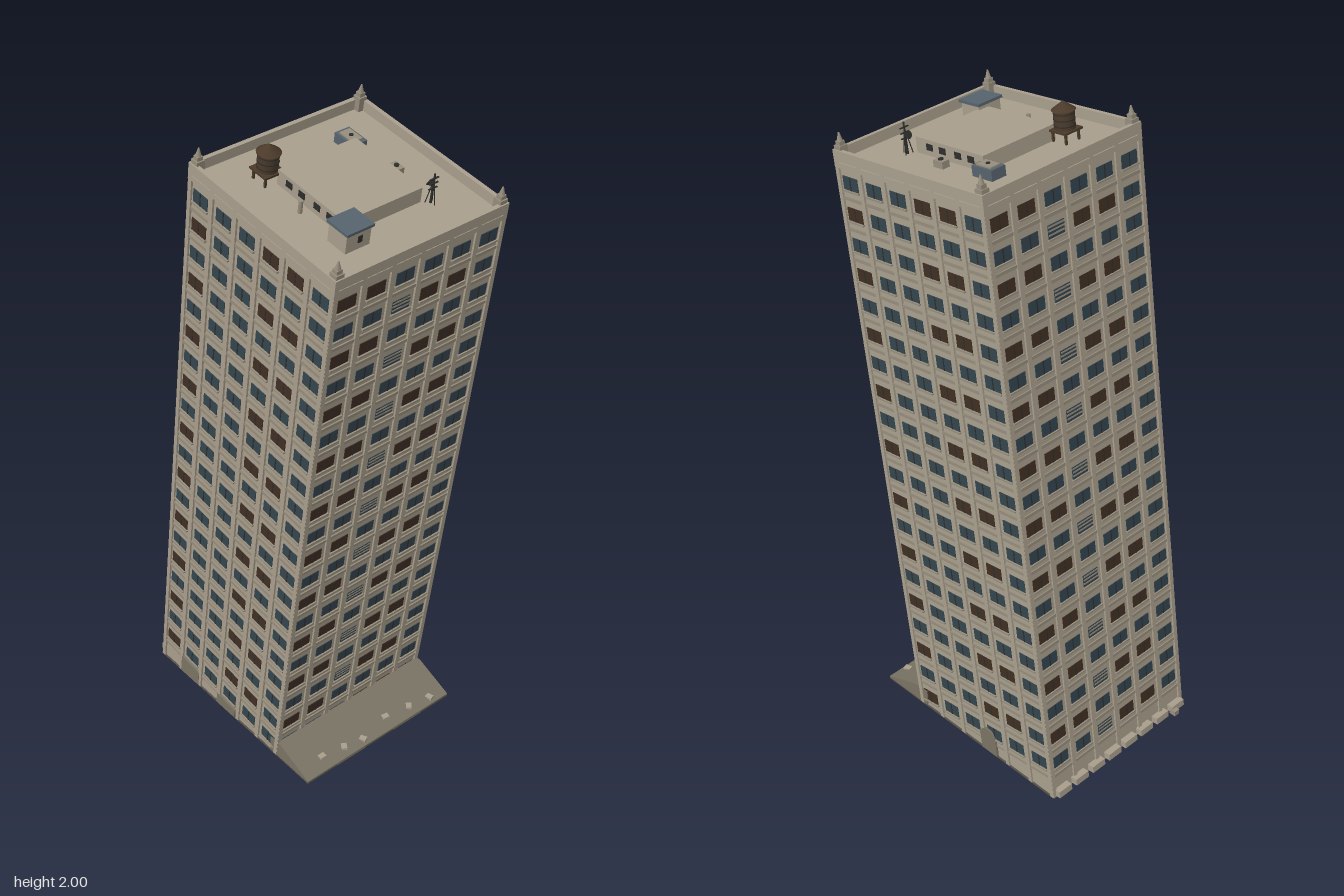
import * as THREE from 'three';
import { mergeGeometries } from 'three/addons/utils/BufferGeometryUtils.js';

const LEAN = THREE.MathUtils.degToRad(8);
const HALF = 0.286, ROOF = 1.885, ROWS = 20, COLS = 6, BAY = 0.0965, FLOOR = 0.0916;

const mat = (name, color) => {
  const m = new THREE.MeshStandardMaterial({ color });
  m.name = name;
  return m;
};

export function createModel() {
  const M = {
    wall: mat('wall stone', 0xa89e8c),
    trim: mat('trim stone', 0x968d7c),
    glass: mat('window glass', 0x34444e),
    boarded: mat('boarded window', 0x402f23),
    dark: mat('dark metal', 0x2d2e2c),
    wood: mat('tank wood', 0x4b3a2a),
    slate: mat('blue slate', 0x56636d),
    concrete: mat('concrete', 0x7a7364),
    asphalt: mat('asphalt', 0x575349),
  };
  const model = new THREE.Group();
  model.name = 'leaningTower';
  const tower = new THREE.Group();
  tower.name = 'tower';
  tower.position.x = -0.1165;
  tower.rotation.z = -LEAN;
  model.add(tower);

  const box = (w, h, d, x, y, z) => new THREE.BoxGeometry(w, h, d).translate(x, y, z);
  const cyl = (r1, r2, h, n, x, y, z) => new THREE.CylinderGeometry(r1, r2, h, n).translate(x, y, z);
  const add = (parent, name, material, geos) => {
    const mesh = new THREE.Mesh(mergeGeometries([geos].flat()), material);
    mesh.name = name;
    parent.add(mesh);
    return mesh;
  };
  // Cuts a tower part level with the ground
  const cut = (g) => {
    const p = g.attributes.position;
    for (let i = 0; i < p.count; i++) {
      p.setY(i, Math.max(p.getY(i), p.getX(i) * Math.tan(LEAN) + 0.005));
    }
    g.computeVertexNormals();
    return g;
  };
  // Box on facade k: a runs along the wall, v up, d is how far it stands out
  const onWall = (k, w, h, a, v, d) =>
    cut(box(w, h, d + 0.004, a, v, HALF + d / 2 - 0.002).rotateY(k * Math.PI / 2));

  // Main shaft
  add(tower, 'shaft', M.wall, cut(box(HALF * 2, ROOF + 0.1, HALF * 2, 0, (ROOF - 0.1) / 2, 0)));

  // Facades: piers, ledges, windows
  const piers = [], ledges = [], glass = [], boards = [], bars = [], blinds = [];
  for (let k = 0; k < 4; k++) {
    for (let i = 0; i <= COLS; i++) {
      const a = THREE.MathUtils.clamp((i - COLS / 2) * BAY, -0.284, 0.284);
      piers.push(onWall(k, 0.014, ROOF + 0.06, a, (ROOF - 0.06) / 2, 0.006));
    }
    for (let r = 0; r < ROWS; r++) {
      const v = 1.825 - r * FLOOR;
      ledges.push(onWall(k, 0.58, 0.01, 0, v - FLOOR / 2, 0.004));
      for (let c = 0; c < COLS; c++) {
        const a = (c - (COLS - 1) / 2) * BAY;
        const side = k % 2 === 1;
        const even = r % 2 === 0;
        const isBoarded = side
          ? (even ? c < 2 : c === 3 || c === 4)
          : (even ? c === 3 || c === 4 : c === 0);
        (isBoarded ? boards : glass).push(onWall(k, 0.06, 0.039, a, v, 0.002));
        ledges.push(onWall(k, 0.066, 0.005, a, v - 0.022, 0.007));
        if (side && !even && c === 2) {
          for (const s of [-0.009, 0.003, 0.014]) blinds.push(onWall(k, 0.058, 0.005, a, v + s, 0.003));
        } else {
          bars.push(onWall(k, 0.004, 0.039, a, v, 0.003));
        }
      }
    }
  }
  add(tower, 'piers', M.wall, piers);
  add(tower, 'ledges', M.trim, ledges);
  add(tower, 'glassWindows', M.glass, glass);
  add(tower, 'boardedWindows', M.boarded, boards);
  add(tower, 'windowBars', M.dark, bars);
  add(tower, 'windowBlinds', M.trim, blinds);

  // Street level doors and back entrance
  add(tower, 'frontDoors', M.concrete, [
    onWall(0, 0.09, 0.12, -0.145, -0.012, 0.007),
    onWall(0, 0.09, 0.12, 0.04, -0.012, 0.007),
  ]);
  add(tower, 'backEntrance', M.concrete, [
    onWall(2, 0.065, 0.13, 0.02, -0.005, 0.007),
    cut(cyl(0.0325, 0.0325, 0.008, 16, 0, 0, 0).rotateX(Math.PI / 2).translate(-0.02, 0.06, -HALF - 0.003)),
  ]);

  // Cornice, parapet and corner finials
  const parapet = [], finials = [];
  for (let k = 0; k < 4; k++) {
    parapet.push(onWall(k, 0.584, 0.016, 0, 1.874, 0.006));
    parapet.push(box(0.584, 0.032, 0.013, 0, 1.9, 0.2855).rotateY(k * Math.PI / 2));
    const x = k % 2 ? 0.275 : -0.275, z = k < 2 ? 0.275 : -0.275;
    finials.push(box(0.026, 0.045, 0.026, x, 1.905, z), box(0.018, 0.012, 0.018, x, 1.933, z));
    finials.push(cyl(0.002, 0.009, 0.025, 8, x, 1.95, z));
  }
  add(tower, 'parapet', M.wall, parapet);
  add(tower, 'finials', M.trim, finials);

  // Penthouse
  add(tower, 'penthouse', M.wall, box(0.262, 0.045, 0.262, 0.003, ROOF + 0.0225, 0));
  add(tower, 'penthouseVents', M.dark, [-0.08, -0.03, 0.03, 0.08].flatMap((a) => [
    box(0.024, 0.018, 0.004, a, ROOF + 0.025, -0.131),
    box(0.024, 0.018, 0.004, a, ROOF + 0.025, 0.131),
  ]));

  // Water tank on legs
  const tank = new THREE.Group();
  tank.name = 'waterTank';
  tank.position.set(-0.156, ROOF, 0.143);
  tower.add(tank);
  add(tank, 'tankStand', M.wood, [-1, 1].flatMap((i) => [-1, 1].map((j) =>
    box(0.006, 0.03, 0.006, i * 0.024, 0.015, j * 0.024))).concat(box(0.066, 0.006, 0.066, 0, 0.032, 0)));
  add(tank, 'tankBarrel', M.wood, cyl(0.029, 0.029, 0.052, 16, 0, 0.061, 0));
  add(tank, 'tankHoops', M.dark, [0.045, 0.062, 0.079].map((y) => cyl(0.03, 0.03, 0.003, 16, 0, y, 0)));
  add(tank, 'tankRoof', M.wood, cyl(0.001, 0.034, 0.024, 16, 0, 0.099, 0));

  // Stair hut with slate roof
  add(tower, 'stairHut', M.wall, box(0.068, 0.056, 0.08, 0.159, ROOF + 0.028, 0.135));
  add(tower, 'stairHutRoof', M.slate, box(0.08, 0.008, 0.09, 0.159, ROOF + 0.06, 0.135));
  add(tower, 'stairHutDoor', M.dark, box(0.004, 0.02, 0.014, 0.193, ROOF + 0.03, 0.13));

  // Cooling unit and small vents
  add(tower, 'coolingUnit', M.slate, box(0.074, 0.03, 0.05, -0.155, ROOF + 0.015, -0.14));
  add(tower, 'coolingUnitLid', M.trim, box(0.054, 0.006, 0.036, -0.155, ROOF + 0.031, -0.14));
  add(tower, 'coolingFan', M.dark, cyl(0.006, 0.006, 0.004, 10, -0.155, ROOF + 0.035, -0.14));
  add(tower, 'roofVents', M.trim, [
    box(0.036, 0.02, 0.025, 0, ROOF + 0.01, -0.165),
    cyl(0.006, 0.006, 0.038, 8, 0, ROOF + 0.019, 0.16),
  ]);
  add(tower, 'ventCap', M.dark, cyl(0.007, 0.007, 0.004, 10, 0, ROOF + 0.022, -0.165));

  // Antenna mast with dish
  const mast = [cyl(0.0025, 0.004, 0.09, 6, 0.15, ROOF + 0.045, -0.152)];
  for (let i = 0; i < 3; i++) {
    const t = i * Math.PI * 2 / 3;
    mast.push(cyl(0.0015, 0.0015, 0.07, 5, 0, 0, 0).rotateZ(0.2)
      .translate(0.008, 0.035, 0).rotateY(t).translate(0.15, ROOF, -0.152));
  }
  for (const y of [0.045, 0.06, 0.075]) mast.push(box(0.004, 0.003, 0.03, 0.15, ROOF + y, -0.152));
  mast.push(cyl(0.012, 0.004, 0.008, 10, 0, 0, 0).rotateZ(1.2).translate(0.14, ROOF + 0.055, -0.152));
  add(tower, 'antenna', M.dark, mast);

  // Striped foundation underside
  for (let i = 0; i < 5; i++) {
    add(model, 'foundationStrip', i % 2 ? M.concrete : M.asphalt,
      box(0.735, 0.005, 0.116, -0.0375, 0.0025, (i - 2) * 0.116));
  }

  // Heaved earth ramp on the leaning side
  const profile = new THREE.Shape([[0.15, 0.005], [0.33, 0.005], [0.33, 0.01], [0.2, 0.062], [0.15, 0.062]]
    .map(([x, y]) => new THREE.Vector2(x, y)));
  add(model, 'ramp', M.concrete,
    new THREE.ExtrudeGeometry(profile, { depth: 0.58, bevelEnabled: false }).translate(0, 0, -0.29));
  add(model, 'rubble', M.wall, [0.2, 0.12, 0.05, -0.06, -0.15, -0.23].map((z, i) =>
    new THREE.BoxGeometry(0.018, 0.01, 0.022).rotateY(i).translate(0.29 + (i % 3) * 0.01, 0.026 - (i % 3) * 0.004, z)));

  // Raised paving blocks on the far side
  add(model, 'pavingBlocks', M.wall, Array.from({ length: 8 }, (_, i) =>
    new THREE.BoxGeometry(0.05, 0.022, 0.053).rotateZ(-0.12).translate(-0.4, 0.018, (i - 3.5) * 0.0728)));
  add(model, 'looseBlock', M.trim, box(0.022, 0.018, 0.02, -0.427, 0.014, 0.235));
  return model;
}
